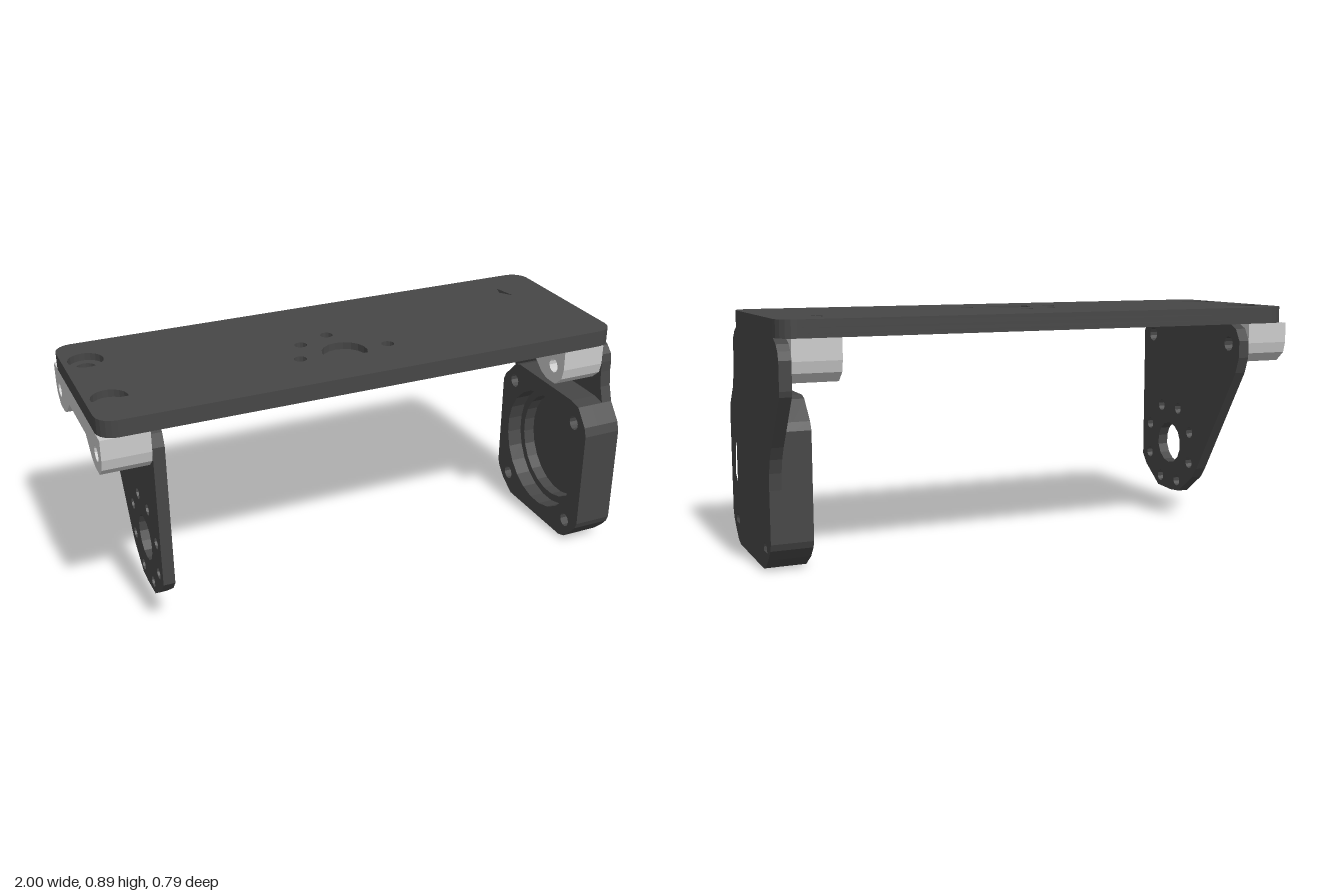
import * as THREE from 'three';

const dark = new THREE.MeshStandardMaterial({ color: 0x464646, flatShading: true });
const grey = new THREE.MeshStandardMaterial({ color: 0xcccccc, flatShading: true });

// Polygon hole; points past `cut` (second axis) are flattened onto it
function ring(cx, cy, r, n = 16, cut = -Infinity) {
  const pts = [];
  for (let i = 0; i < n; i++) {
    const a = (i + 0.5) / n * Math.PI * 2;
    const p = [cx + r * Math.cos(a), cy + r * Math.sin(a)];
    if (p[1] >= cut) pts.push(p);
  }
  return pts;
}

function makeShape(outline, holes) {
  const vec = list => list.map(([a, b]) => new THREE.Vector2(a, b));
  const shape = new THREE.Shape(vec(outline));
  holes.forEach(h => shape.holes.push(new THREE.Path(vec(h))));
  return shape;
}

// Slab with a (z, y) outline, running from x0 to x1
function sideSlab(name, outline, holes, x0, x1, material = dark) {
  const g = new THREE.ExtrudeGeometry(makeShape(outline, holes), { depth: x1 - x0, bevelEnabled: false });
  g.rotateY(-Math.PI / 2).translate(x1, 0, 0);
  const m = new THREE.Mesh(g, material);
  m.name = name;
  return m;
}

// Slab with an (x, -z) outline, running from y0 to y1
function flatSlab(name, outline, holes, y0, y1) {
  const g = new THREE.ExtrudeGeometry(makeShape(outline, holes), { depth: y1 - y0, bevelEnabled: false });
  g.rotateX(-Math.PI / 2).translate(0, y0, 0);
  const m = new THREE.Mesh(g, dark);
  m.name = name;
  return m;
}

function roundedRect(x0, x1, y0, y1, r) {
  const pts = [];
  [[x1 - r, y1 - r], [x0 + r, y1 - r], [x0 + r, y0 + r], [x1 - r, y0 + r]].forEach(([cx, cy], q) => {
    for (let i = 0; i <= 5; i++) {
      const a = (q + i / 5) * Math.PI / 2;
      pts.push([cx + r * Math.cos(a), cy + r * Math.sin(a)]);
    }
  });
  return pts;
}

export function createModel() {
  const model = new THREE.Group();
  model.name = 'servoBracket';

  // Top plate in three layers, giving blind recesses and counterbores
  const plate = new THREE.Group();
  plate.name = 'topPlate';
  const top = roundedRect(-1, 1, -0.3, 0.395, 0.065);
  const bores = r => [ring(-0.915, 0.225, r, 20), ring(-0.915, -0.12, r, 20, -0.14)];
  const pattern = [
    ring(-0.03, -0.08, 0.085, 18, -0.14),
    ring(-0.03, 0.09, 0.024, 12), ring(-0.155, 0.04, 0.024, 12),
    ring(-0.205, -0.08, 0.024, 12), ring(0.145, -0.08, 0.024, 12),
    [[0.8, 0.22], [0.835, 0.17], [0.815, 0.265]],
  ];
  plate.add(
    flatSlab('plateBase', top, [], 0.83, 0.845),
    flatSlab('plateMiddle', top, bores(0.035), 0.845, 0.865),
    flatSlab('plateTop', top, [...bores(0.065), ...pattern], 0.865, 0.892),
  );
  model.add(plate);

  // Mounting blocks: a bridge with a drilled lobe at each end
  const blockOutline = [
    [0.3, 0.83], [-0.395, 0.83], [-0.395, 0.755], [-0.385, 0.715], [-0.345, 0.68], [-0.28, 0.68],
    [-0.24, 0.695], [-0.17, 0.755], [0.08, 0.755], [0.15, 0.695], [0.19, 0.68],
    [0.25, 0.68], [0.29, 0.715], [0.3, 0.755],
  ];
  const screwHoles = [ring(0.23, 0.75, 0.028, 12), ring(-0.325, 0.75, 0.028, 12)];
  model.add(
    sideSlab('idlerBlock', blockOutline, screwHoles, -1, -0.828, grey),
    sideSlab('motorBlock', blockOutline, screwHoles, 0.785, 0.957, grey),
  );

  // Idler arm: tapering plate with a bearing hole and bolt circle
  const idlerOutline = [
    [0.24, 0.83], [-0.33, 0.83], [-0.37, 0.81], [-0.395, 0.765], [-0.395, 0.7], [-0.375, 0.64],
    [-0.12, 0.22], [-0.09, 0.18], [0.01, 0.105], [0.07, 0.1], [0.17, 0.105],
    [0.27, 0.18], [0.3, 0.22], [0.3, 0.765], [0.28, 0.81],
  ];
  const bolts = [];
  for (let i = 0; i < 8; i++) {
    const a = (i + 0.5) * Math.PI / 4;
    bolts.push(ring(0.09 + 0.165 * Math.cos(a), 0.3 + 0.165 * Math.sin(a), 0.023, 10));
  }
  model.add(sideSlab('idlerArm', idlerOutline, [ring(0.09, 0.3, 0.085, 14), ...bolts, ...screwHoles], -0.828, -0.785));

  // Motor arm: curved plate, with a shallow triangular recess outside
  const motorOutline = [
    [0.28, 0], [-0.1, 0], [-0.13, 0.01], [-0.17, 0.045], [-0.205, 0.085], [-0.215, 0.11],
    [-0.215, 0.3], [-0.22, 0.36], [-0.235, 0.41], [-0.26, 0.455], [-0.39, 0.64], [-0.395, 0.66],
    [-0.395, 0.76], [-0.385, 0.79], [-0.365, 0.812], [-0.33, 0.83], [0.24, 0.83], [0.27, 0.815],
    [0.295, 0.79], [0.302, 0.76], [0.302, 0.72], [0.31, 0.66], [0.33, 0.6], [0.383, 0.535],
    [0.395, 0.5], [0.395, 0.11], [0.385, 0.085], [0.36, 0.055], [0.315, 0.012],
  ];
  const lowerHoles = [ring(0.312, 0.085, 0.028, 14, 0.075), ring(-0.132, 0.075, 0.026, 12, 0.06)];
  const arm = new THREE.Group();
  arm.name = 'motorArm';
  arm.add(
    sideSlab('motorArmInner', motorOutline, lowerHoles, 0.957, 0.98),
    sideSlab('motorArmOuter', motorOutline, [...lowerHoles, [[0.305, 0.39], [0.325, 0.265], [0.09, 0.065]]], 0.98, 1),
  );
  model.add(arm);

  // Motor housing: chamfered block with a stepped round pocket and corner holes
  const housingOutline = [
    [0.28, 0], [-0.1, 0], [-0.17, 0.045], [-0.205, 0.085], [-0.215, 0.11], [-0.215, 0.5],
    [-0.2, 0.53], [-0.13, 0.6], [-0.1, 0.61], [0.28, 0.61], [0.33, 0.6], [0.383, 0.535],
    [0.395, 0.5], [0.395, 0.11], [0.385, 0.085], [0.36, 0.055], [0.315, 0.012],
  ];
  const corners = [];
  for (const z of [-0.13, 0.31]) for (const y of [0.085, 0.525]) corners.push(ring(z, y, 0.028, 12));
  const housing = new THREE.Group();
  housing.name = 'motorHousing';
  housing.add(
    sideSlab('housingRim', housingOutline, [ring(0.09, 0.305, 0.245, 24), ...corners], 0.848, 0.91),
    sideSlab('housingSeat', housingOutline, [ring(0.09, 0.305, 0.215, 24), ...corners], 0.91, 0.957),
  );
  model.add(housing);

  return model;
}
